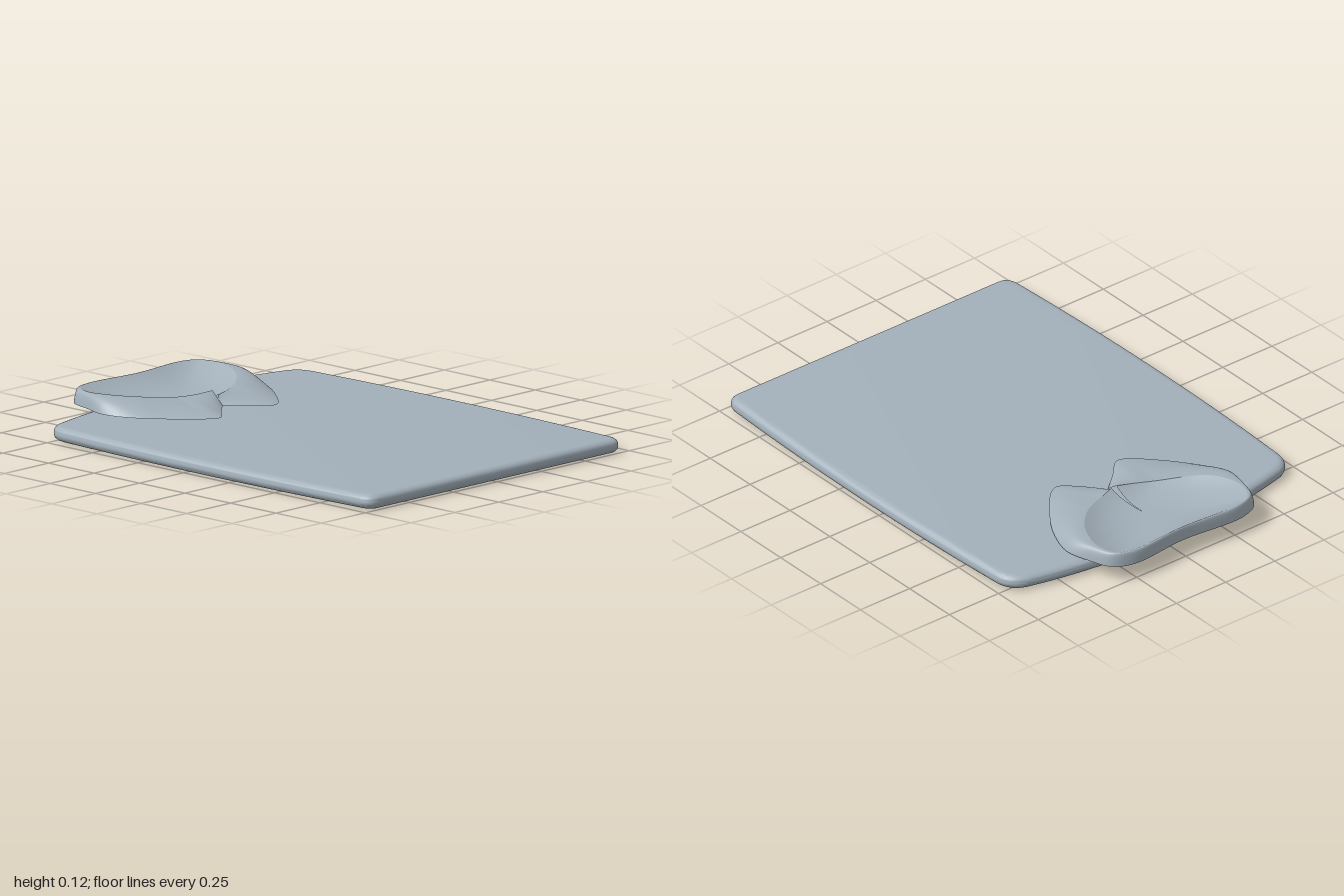
import * as THREE from 'three';
import { toCreasedNormals } from 'three/addons/utils/BufferGeometryUtils.js';

const fabric = new THREE.MeshStandardMaterial({ color: 0xa3b0ba, side: THREE.DoubleSide });
fabric.name = 'grey blue fabric';

// Smooth surface from a rule point(u, v)
function surface(point, nu, nv) {
  const pos = [], index = [];
  for (let i = 0; i <= nu; i++) {
    for (let j = 0; j <= nv; j++) {
      pos.push(...point(i / nu, j / nv));
      if (i < nu && j < nv) {
        const a = i * (nv + 1) + j, b = a + nv + 1;
        index.push(a, a + 1, b, b, a + 1, b + 1);
      }
    }
  }
  const g = new THREE.BufferGeometry();
  g.setAttribute('position', new THREE.Float32BufferAttribute(pos, 3));
  g.setIndex(index);
  g.computeVertexNormals();
  return g;
}

// Folded body: bowed sides, sloping shoulders, soft rounded edge
function bodyGeometry() {
  const s = new THREE.Shape();
  s.moveTo(-0.66, -1);
  s.lineTo(0.66, -1);
  s.quadraticCurveTo(0.715, -1, 0.722, -0.94);
  s.quadraticCurveTo(0.768, -0.1, 0.722, 0.69);
  s.quadraticCurveTo(0.718, 0.775, 0.64, 0.8);
  s.quadraticCurveTo(0.33, 0.88, 0, 0.88);
  s.quadraticCurveTo(-0.33, 0.88, -0.64, 0.8);
  s.quadraticCurveTo(-0.718, 0.775, -0.722, 0.69);
  s.quadraticCurveTo(-0.768, -0.1, -0.722, -0.94);
  s.quadraticCurveTo(-0.715, -1, -0.66, -1);
  const g = new THREE.ExtrudeGeometry(s, {
    depth: 0.008, bevelThickness: 0.025, bevelSize: 0.032, bevelOffset: -0.032,
    bevelSegments: 6, curveSegments: 16,
  });
  g.rotateX(-Math.PI / 2);
  g.translate(0, 0.025, 0);
  return toCreasedNormals(g, 0.7);
}

// Collar stations: fold line x, z, y, then outer edge x, z, then fullness
const stations = [
  [0.01, -0.545, 0.10, -0.02, -0.515, 1],
  [0.05, -0.56, 0.10, 0.06, -0.42, 1],
  [0.09, -0.575, 0.10, 0.13, -0.36, 1],
  [0.13, -0.59, 0.103, 0.17, -0.37, 1],
  [0.20, -0.63, 0.11, 0.28, -0.49, 1.5],
  [0.28, -0.71, 0.118, 0.365, -0.62, 2.5],
  [0.325, -0.79, 0.122, 0.41, -0.76, 4],
  [0.345, -0.88, 0.123, 0.385, -0.87, 4],
  [0.32, -0.96, 0.124, 0.345, -0.96, 4],
  [0.25, -0.985, 0.124, 0.26, -1, 4],
  [0, -0.973, 0.122, 0, -0.983, 4],
  [-0.25, -0.985, 0.124, -0.29, -1, 4],
  [-0.34, -0.965, 0.124, -0.385, -0.955, 4],
  [-0.38, -0.88, 0.124, -0.42, -0.85, 4],
  [-0.36, -0.79, 0.124, -0.45, -0.74, 4],
  [-0.31, -0.72, 0.12, -0.42, -0.62, 2.5],
  [-0.24, -0.67, 0.113, -0.33, -0.49, 1.5],
  [-0.16, -0.625, 0.107, -0.2, -0.365, 1],
  [-0.12, -0.605, 0.107, -0.165, -0.36, 1],
  [-0.07, -0.585, 0.11, -0.09, -0.43, 1],
  [0, -0.565, 0.117, -0.01, -0.5, 1],
];
const FLOOR = 0.067;
const curve = (f) => new THREE.CatmullRomCurve3(stations.map(f));
const fold = curve((s) => new THREE.Vector3(s[0], s[2], s[1]));
const edge = curve((s) => new THREE.Vector3(s[3], FLOOR, s[4]));

// Turned-down outer leaf, running from the fold to the pointed edge
function leafPoint(u, v) {
  const a = fold.getPoint(u), b = edge.getPoint(u);
  const k = u * (stations.length - 1), i = Math.min(Math.floor(k), stations.length - 2);
  const full = THREE.MathUtils.lerp(stations[i][5], stations[i + 1][5], k - i);
  const t = Math.sin(v * Math.PI / 2);
  return [
    THREE.MathUtils.lerp(a.x, b.x, t),
    FLOOR + (a.y - FLOOR) * (1 - Math.pow(t, full)),
    THREE.MathUtils.lerp(a.z, b.z, t),
  ];
}

// Inside of the neck: a shallow bowl falling from the fold
function liningPoint(u, v) {
  const a = fold.getPoint(u), s = 1 - v;
  return [
    -0.01 + (a.x + 0.01) * s,
    FLOOR + (a.y - FLOOR) * Math.pow(s, 2.6),
    -0.72 + (a.z + 0.72) * s,
  ];
}

export function createModel() {
  const model = new THREE.Group();
  model.name = 'foldedShirt';
  const add = (name, geometry, parent) => {
    const mesh = new THREE.Mesh(geometry, fabric);
    mesh.name = name;
    parent.add(mesh);
  };
  add('foldedBody', bodyGeometry(), model);

  const collar = new THREE.Group();
  collar.name = 'collar';
  add('collarLeaf', surface(leafPoint, 160, 14), collar);
  add('neckLining', surface((u, v) => liningPoint(1 - u, v), 160, 14), collar);
  model.add(collar);
  return model;
}
